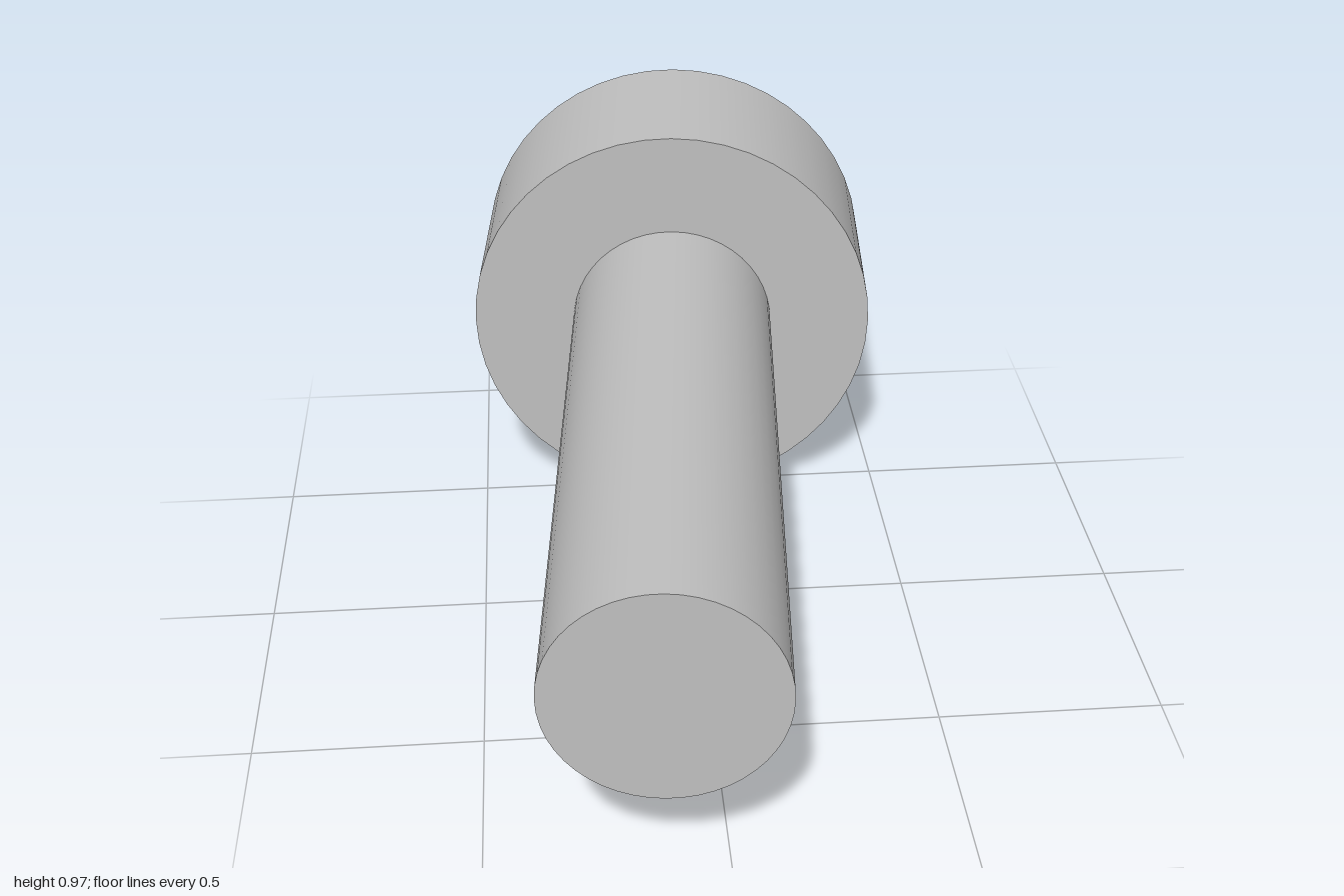
import * as THREE from 'three';

const SEG = 48;
const HEAD_R = 0.486, FACE_R = 0.437, SHANK_R = 0.243;
const CHAMFER = 0.049, HEAD_LEN = 0.486, SHANK_LEN = 1.466;
const HEX_R = 0.218, HEX_DEPTH = 0.195, FLOOR_R = 0.19, FLOOR_DEPTH = 0.28;

// Tube along z from z0 (radius r0) to z1 (radius r1)
function tube(r0, r1, z0, z1, sides) {
  return new THREE.CylinderGeometry(r1, r0, z1 - z0, sides, 1, true)
    .rotateX(Math.PI / 2)
    .translate(0, 0, (z0 + z1) / 2);
}

// Six flat walls that face the axis
function hexWalls(r0, r1, z0, z1) {
  const g = tube(r0, r1, z0, z1, 6).scale(-1, 1, 1).toNonIndexed();
  g.computeVertexNormals();
  return g;
}

function polygon(radius, sides) {
  return Array.from({ length: sides }, (_, i) => {
    const a = Math.PI / 2 + (i / sides) * Math.PI * 2;
    return new THREE.Vector2(radius * Math.cos(a), radius * Math.sin(a));
  });
}

export function createModel() {
  const steel = new THREE.MeshStandardMaterial({ color: 0xc0c0c0 });
  steel.name = 'grey steel';

  const screw = new THREE.Group();
  screw.name = 'socketScrew';
  const add = (name, geometry) => {
    const mesh = new THREE.Mesh(geometry, steel);
    mesh.name = name;
    screw.add(mesh);
  };

  // Head: outer face with a hexagonal opening, chamfer, side and underside
  const face = new THREE.Shape(polygon(FACE_R, SEG));
  face.holes.push(new THREE.Path(polygon(HEX_R, 6)));
  add('headFace', new THREE.ShapeGeometry(face).rotateY(Math.PI));
  add('headChamfer', tube(FACE_R, HEAD_R, 0, CHAMFER, SEG));
  add('headSide', tube(HEAD_R, HEAD_R, CHAMFER, HEAD_LEN, SEG));
  add('headUnderside', new THREE.RingGeometry(SHANK_R, HEAD_R, SEG).translate(0, 0, HEAD_LEN));

  // Hexagonal socket: straight walls, tapered bottom, floor
  add('socketWalls', hexWalls(HEX_R, HEX_R, 0, HEX_DEPTH));
  add('socketTaper', hexWalls(HEX_R, FLOOR_R, HEX_DEPTH, FLOOR_DEPTH));
  add('socketFloor', new THREE.CircleGeometry(FLOOR_R, 6, Math.PI / 2)
    .rotateY(Math.PI).translate(0, 0, FLOOR_DEPTH));

  // Shank
  const tip = HEAD_LEN + SHANK_LEN;
  add('shankSide', tube(SHANK_R, SHANK_R, HEAD_LEN, tip, SEG));
  add('shankTip', new THREE.CircleGeometry(SHANK_R, SEG).translate(0, 0, tip));

  // The screw lies level, turned slightly to its right
  screw.rotation.y = -0.08;
  screw.position.set(0.0206, HEAD_R, -0.965);

  const model = new THREE.Group();
  model.name = 'screw';
  model.add(screw);
  return model;
}
